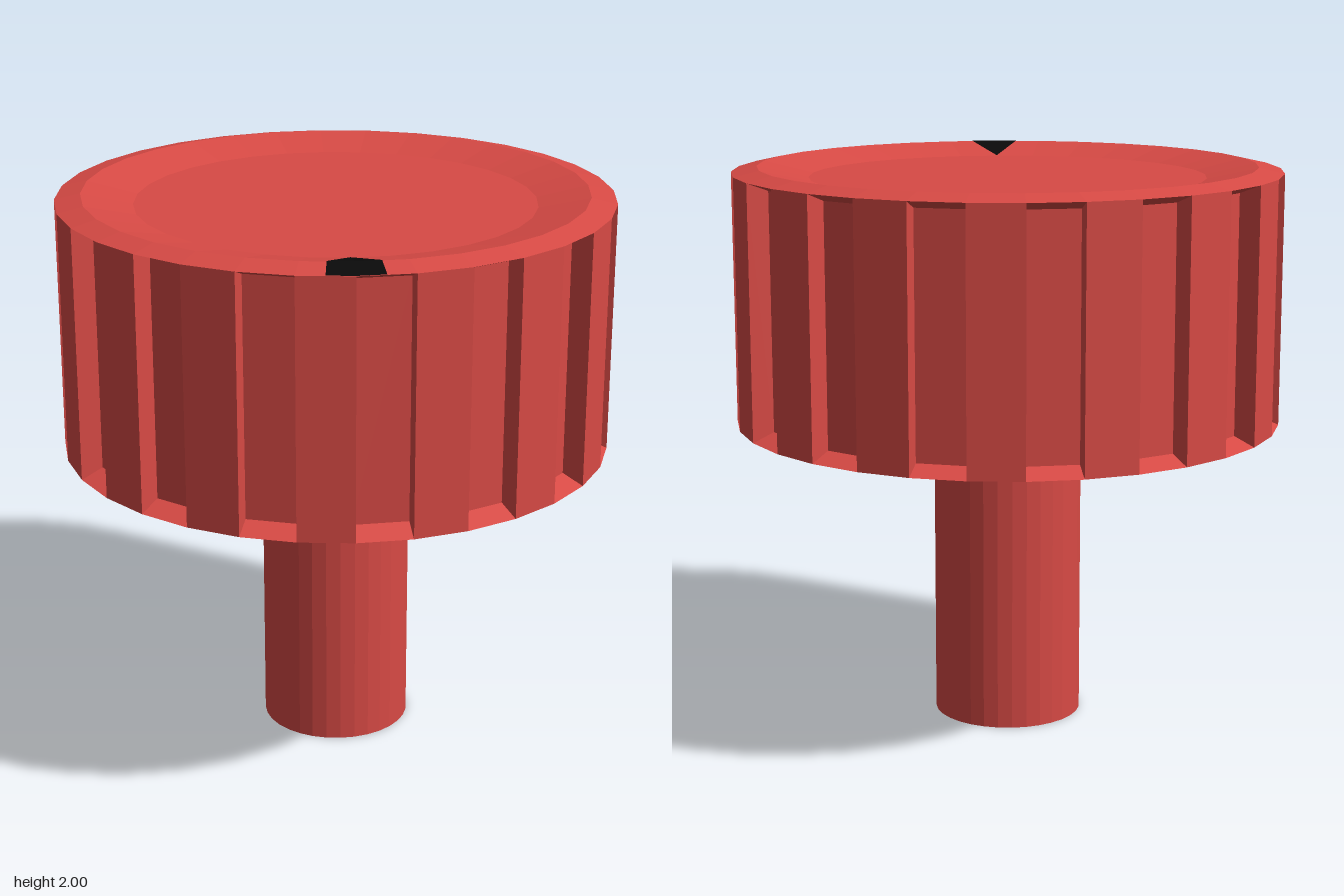
import * as THREE from 'three';

const SIDES = 32, R = 0.97, LOW = 1.09, HIGH = 1.98;
const STEP = (Math.PI * 2) / SIDES;

const red = new THREE.MeshStandardMaterial({ color: 0xd84a45, flatShading: true });
const black = new THREE.MeshStandardMaterial({ color: 0x0a0a0a, flatShading: true });

function part(name, geometry, material = red) {
  const mesh = new THREE.Mesh(geometry, material);
  mesh.name = name;
  return mesh;
}

function lathe(points) {
  return new THREE.LatheGeometry(points.map(([r, y]) => new THREE.Vector2(r, y)), SIDES);
}

function fromTriangles(points) {
  const geometry = new THREE.BufferGeometry().setFromPoints(points);
  geometry.computeVertexNormals();
  return geometry;
}

// Grip wall: plain facets alternate with facets pushed inwards behind sloped lips
function gripGeometry() {
  const depth = 0.08, lip = 0.03;
  const points = [];
  const quad = (a, b, c, d) => points.push(a, b, c, a, c, d);
  const at = (i, y) => new THREE.Vector3(R * Math.sin(i * STEP), y, R * Math.cos(i * STEP));
  for (let i = 0; i < SIDES; i++) {
    const outer = [at(i, LOW), at(i + 1, LOW), at(i + 1, HIGH), at(i, HIGH)];
    if (i % 2) {
      quad(...outer);
      continue;
    }
    const mid = (i + 0.5) * STEP;
    const inward = new THREE.Vector3(-Math.sin(mid), 0, -Math.cos(mid));
    const inner = outer.map((p, k) => {
      const q = p.clone().addScaledVector(inward, depth);
      q.y += k < 2 ? lip : -lip;
      return q;
    });
    quad(...inner);
    for (let k = 0; k < 4; k++) {
      const n = (k + 1) % 4;
      quad(outer[k], outer[n], inner[n], inner[k]);
    }
  }
  return fromTriangles(points);
}

// Pointer mark lying on the rim and the slope of the dish
function pointerGeometry() {
  const v = (x, y, z) => new THREE.Vector3(x, y + 0.0015, z);
  const tip = v(0, 1.96, 0.7), crest = v(0, 2, 0.88), edge = v(0, HIGH, R);
  const points = [];
  for (const s of [-1, 1]) {
    const crestSide = v(s * 0.086, 2, 0.8715);
    const edgeSide = v(s * 0.095, HIGH, 0.9606);
    const tris = [[tip, crest, crestSide], [crest, edge, edgeSide], [crest, edgeSide, crestSide]];
    for (const [a, b, c] of tris) points.push(...(s > 0 ? [a, b, c] : [a, c, b]));
  }
  return fromTriangles(points);
}

export function createModel() {
  const model = new THREE.Group();
  model.name = 'knob';
  model.add(
    part('stem', lathe([[0, 0], [0.265, 0], [0.265, LOW]])),
    part('underside', lathe([[0, LOW], [R, LOW]])),
    part('grip', gripGeometry()),
    part('dishedTop', lathe([[R, HIGH], [0.88, 2], [0.7, 1.96], [0, 1.96]])),
    part('pointer', pointerGeometry(), black)
  );
  return model;
}
